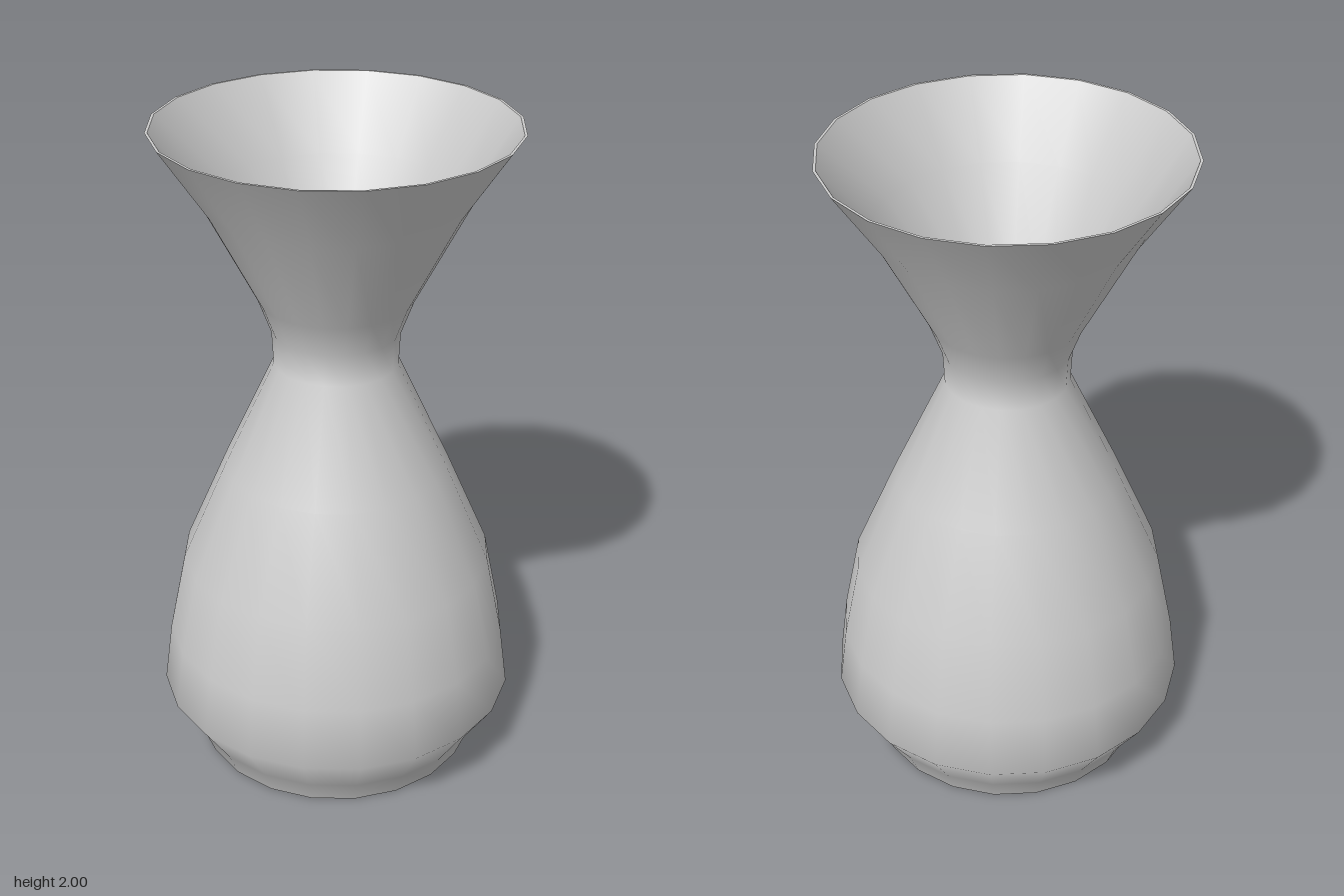
import * as THREE from 'three';

const SIDES = 20;
const WALL = 0.008;
const FLOOR_Y = 0.04;

// Outer silhouette from foot to lip: [radius, height]
const PROFILE = [
  [0.425, 0], [0.455, 0.075], [0.545, 0.21], [0.52, 0.4], [0.469, 0.65],
  [0.336, 0.96], [0.184, 1.29], [0.189, 1.39], [0.226, 1.49], [0.382, 1.79], [0.523, 2],
];

export function createModel() {
  const group = new THREE.Group();
  group.name = 'carafe';
  const material = new THREE.MeshStandardMaterial({ color: 0xcccccc });

  // Each turned surface is its own lathe, so edges between them stay sharp
  const turned = (name, points) => {
    const geometry = new THREE.LatheGeometry(points.map(([r, y]) => new THREE.Vector2(r, y)), SIDES);
    const mesh = new THREE.Mesh(geometry, material);
    mesh.name = name;
    group.add(mesh);
  };

  const inner = PROFILE.map(([r, y]) => [r - WALL, y]);
  const footRadius = 0.441 - WALL;
  const [lipOuter, lipInner] = [PROFILE.at(-1), inner.at(-1)];

  turned('outerWall', PROFILE);
  turned('lip', [lipOuter, lipInner]);
  turned('innerWall', [...inner.slice(1).reverse(), [footRadius, FLOOR_Y]]);

  // Floor set slightly up inside the foot ring
  turned('floor', [[footRadius, FLOOR_Y + 0.004], [0, FLOOR_Y + 0.004]]);
  turned('underside', [[0, FLOOR_Y], [footRadius, FLOOR_Y]]);
  turned('footInside', [[footRadius, FLOOR_Y], inner[0]]);
  turned('footRim', [inner[0], PROFILE[0]]);

  return group;
}
